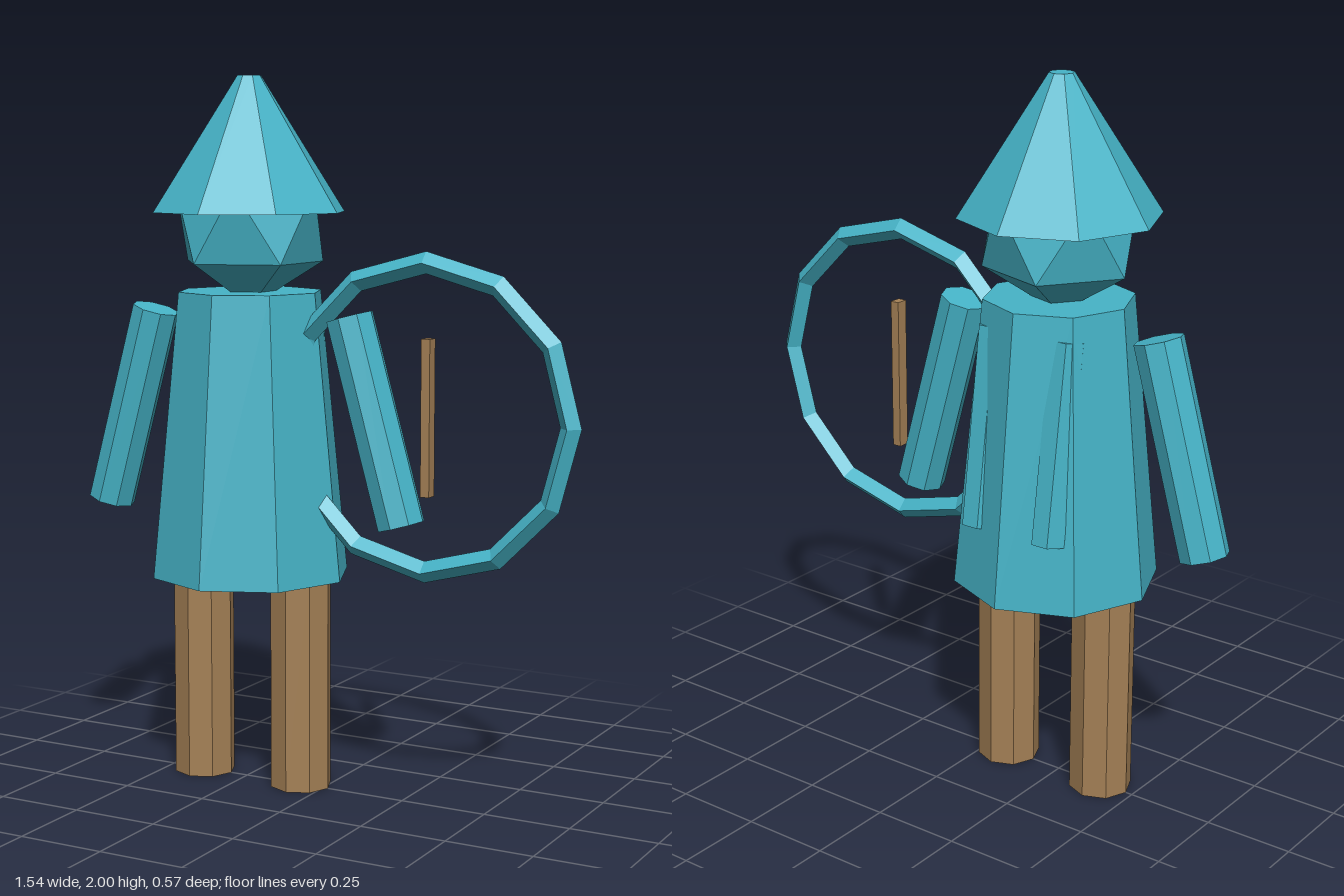
import * as THREE from 'three';

export function createModel() {
  const model = new THREE.Group();
  const cloth = new THREE.MeshStandardMaterial({ color: 0x46b4c8, flatShading: true });
  const wood = new THREE.MeshStandardMaterial({ color: 0xa58156, flatShading: true });

  const add = (name, geometry, material, x, y, z, parent = model) => {
    const mesh = new THREE.Mesh(geometry, material);
    mesh.name = name;
    mesh.position.set(x, y, z);
    parent.add(mesh);
    return mesh;
  };

  // The figure stands to one side so that the bow balances the width
  const figure = new THREE.Group();
  figure.name = 'figure';
  figure.position.x = -0.232;
  model.add(figure);

  // Robe, faceted head and pointed hat
  add('robe', new THREE.CylinderGeometry(0.206, 0.285, 0.805, 8), cloth, 0, 1.003, 0, figure);
  const headShape = new THREE.IcosahedronGeometry(0.23).rotateZ(-Math.atan(2 / (1 + Math.sqrt(5))));
  add('head', headShape, cloth, 0, 1.59, 0, figure);
  add('hat', new THREE.CylinderGeometry(0.034, 0.276, 0.375, 8), cloth, 0, 1.8125, 0, figure);

  // Mirrored limbs and the quiver shafts half sunk into the back
  for (const side of [-1, 1]) {
    const label = side > 0 ? 'left' : 'right';
    add(label + 'Leg', new THREE.CylinderGeometry(0.088, 0.088, 0.605, 8), wood, side * 0.16, 0.3025, 0, figure);

    const arm = add(label + 'Arm', new THREE.CylinderGeometry(0.068, 0.068, 0.59, 8), cloth, side * 0.395, 1.061, 0, figure);
    arm.rotation.z = side * 0.276;

    const shaftShape = new THREE.CylinderGeometry(0.05, 0.05, 0.55, 6).rotateY(Math.PI / 6).translate(0, 0.275, 0);
    const shaft = add(label + 'BackShaft', shaftShape, cloth, side * 0.115, 0.79, -0.2, figure);
    shaft.rotation.x = 0.14;
  }

  // Round bow with a diamond section, and its grip
  add('bowRing', new THREE.TorusGeometry(0.42, 0.03, 4, 12), cloth, 0.322, 1.08, 0.018);
  add('bowGrip', new THREE.BoxGeometry(0.026, 0.43, 0.034), wood, 0.321, 1.08, 0);

  return model;
}
